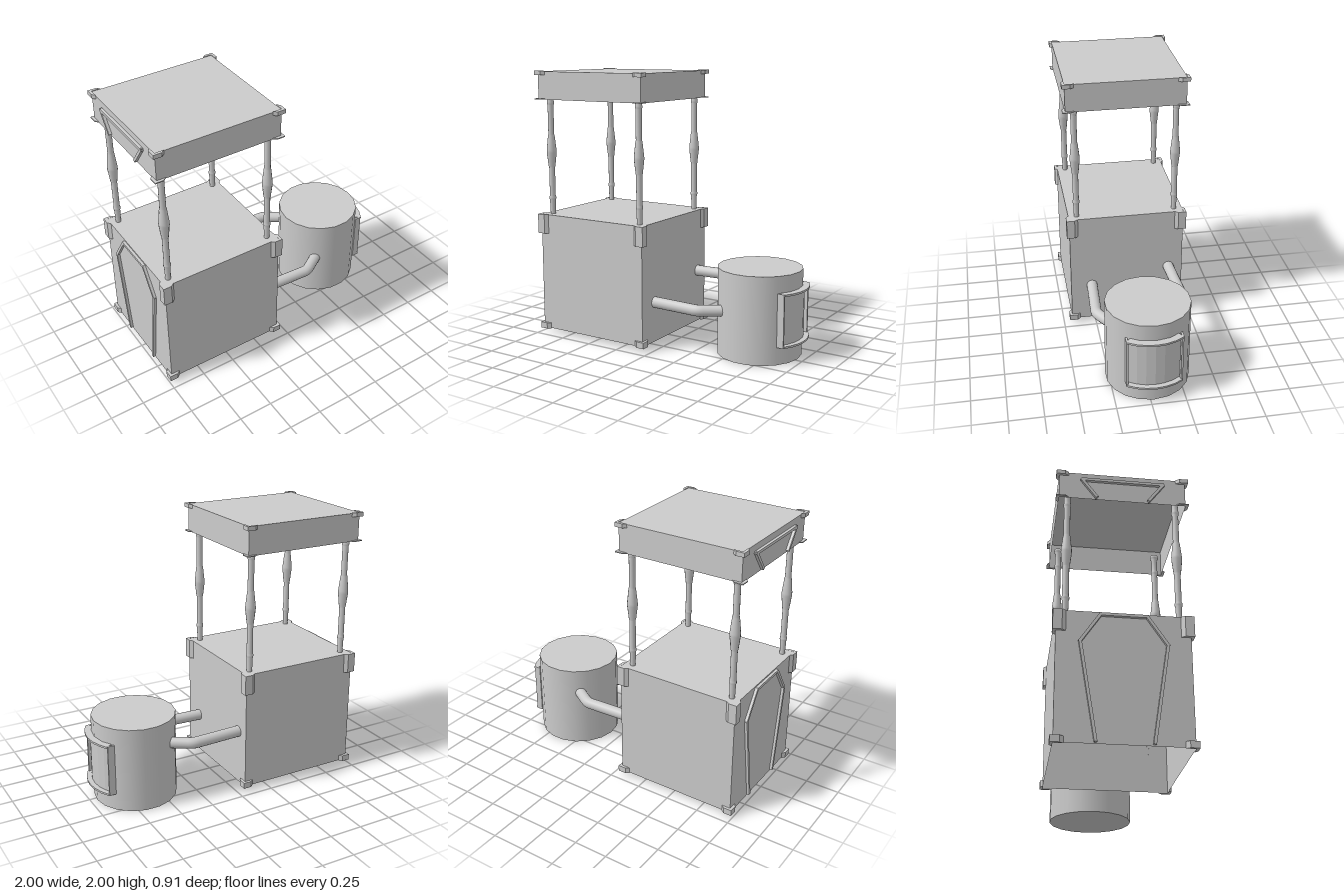
import * as THREE from 'three';

const CX = -0.52; // centre of the tower in x
const HX = 0.46, HZ = 0.435; // half width and depth of its walls

export function createModel() {
  const model = new THREE.Group();
  const grey = new THREE.MeshStandardMaterial({ color: 0xcccccc });
  const thin = new THREE.MeshStandardMaterial({ color: 0xcccccc, side: THREE.DoubleSide });

  const add = (name, geometry, material = grey, x = 0, y = 0, z = 0) => {
    const mesh = new THREE.Mesh(geometry, material);
    mesh.name = name;
    mesh.position.set(x, y, z);
    model.add(mesh);
    return mesh;
  };

  // Upright prism from a plan given as [x, z] points
  const prism = (plan, height) => {
    const shape = new THREE.Shape(plan.map(([x, z]) => new THREE.Vector2(x, -z)));
    return new THREE.ExtrudeGeometry(shape, { depth: height, bevelEnabled: false }).rotateX(-Math.PI / 2);
  };

  // Box shell without a floor
  const shell = (name, y0, y1) => {
    const g = new THREE.BoxGeometry(2 * HX, y1 - y0, 2 * HZ);
    const index = Array.from(g.index.array);
    index.splice(18, 6);
    g.setIndex(index);
    g.clearGroups();
    add(name, g, thin, CX, (y0 + y1) / 2, 0);
  };
  shell('body', 0.035, 0.925);
  shell('canopy', 1.79, 1.995);

  // Corner brackets with slanted ends, wrapped around the wall corners
  const bracket = [[0, 0], [0.06, 0], [0.085, 0.02], [0.02, 0.02], [0.02, 0.085], [0, 0.06]];
  const bands = [
    ['lowerBodyBracket', 0.03, 0.075], ['upperBodyBracket', 0.78, 0.926],
    ['lowerCanopyBracket', 1.79, 1.797], ['upperCanopyBracket', 1.97, 2.0],
  ];
  // Turned posts
  const profile = [
    [0.019, 0.92], [0.022, 1.03], [0.026, 1.04], [0.026, 1.055], [0.022, 1.065], [0.022, 1.28],
    [0.025, 1.285], [0.037, 1.39], [0.037, 1.41], [0.025, 1.52], [0.022, 1.528],
    [0.022, 1.745], [0.026, 1.755], [0.026, 1.77], [0.022, 1.79], [0.022, 1.88], [0.032, 1.89], [0.032, 1.91], [0, 1.91],
  ].map(([r, y]) => new THREE.Vector2(r, y));
  const postGeometry = new THREE.LatheGeometry(profile, 12);

  for (const sx of [-1, 1]) {
    for (const sz of [-1, 1]) {
      const plan = bracket.map(([u, v]) => [CX + sx * (HX + 0.02 - u), sz * (HZ + 0.02 - v)]);
      for (const [name, y0, y1] of bands) add(name, prism(plan, y1 - y0), grey, 0, y0, 0);
      add('post', postGeometry, thin, CX + sx * 0.4, 0, sz * 0.372);
    }
  }

  // Raised strip frames on the end wall, following [z, y] points
  const stripFrame = (name, points) => {
    for (let i = 1; i < points.length; i++) {
      const [z0, y0] = points[i - 1], [z1, y1] = points[i];
      const length = Math.hypot(z1 - z0, y1 - y0);
      const strip = add(name, new THREE.BoxGeometry(0.035, 0.02, length + 0.012), grey,
        -0.9825, (y0 + y1) / 2, (z0 + z1) / 2);
      strip.rotation.x = -Math.atan2(y1 - y0, z1 - z0);
    }
  };
  stripFrame('bodyFrame', [[-0.18, 0.05], [-0.28, 0.71], [-0.15, 0.905], [0.15, 0.905], [0.28, 0.71], [0.18, 0.05]]);
  stripFrame('canopyFrame', [[-0.18, 1.805], [-0.28, 1.94], [0.28, 1.94], [0.18, 1.805]]);

  // Drum
  const DX = 0.645, DZ = -0.03;
  add('drum', new THREE.CylinderGeometry(0.306, 0.306, 0.635, 18, 1, false, Math.PI / 2), grey, DX, 0.3175, DZ);

  // Curved hatch on the drum: panel, two rails and two jambs
  const arcPlan = (rIn, rOut, half, n = 6) => {
    const arc = (r, s) => Array.from({ length: n + 1 }, (_, i) => {
      const a = s * half * (1 - (2 * i) / n);
      return [r * Math.cos(a), r * Math.sin(a)];
    });
    return [...arc(rOut, 1), ...arc(rIn, -1)];
  };
  add('hatchPanel', prism(arcPlan(0.29, 0.318, 0.62), 0.36), grey, DX, 0.14, DZ);
  for (const y of [0.13, 0.5]) add('hatchRail', prism(arcPlan(0.28, 0.355, 0.6), 0.014), grey, DX, y, DZ);
  for (const s of [-1, 1]) {
    add('hatchJamb', new THREE.BoxGeometry(0.05, 0.384, 0.014), grey, 0.908, 0.322, DZ + s * 0.194);
  }

  // Bent pipes joining body and drum
  const pipe = (name, y, points) => {
    const [a, b, c] = points.map(([x, z]) => new THREE.Vector3(x, y, z));
    const p = b.clone().lerp(a, 0.08), q = b.clone().lerp(c, 0.14);
    const path = new THREE.CurvePath();
    path.add(new THREE.LineCurve3(a, p));
    path.add(new THREE.QuadraticBezierCurve3(p, b, q));
    path.add(new THREE.LineCurve3(q, c));
    add(name, new THREE.TubeGeometry(path, 40, 0.041, 16), thin);
  };
  pipe('backPipe', 0.445, [[-0.06, -0.327], [0.32, -0.343], [0.52, -0.215]]);
  pipe('frontPipe', 0.335, [[-0.06, 0.273], [0.32, 0.293], [0.52, 0.165]]);

  return model;
}
